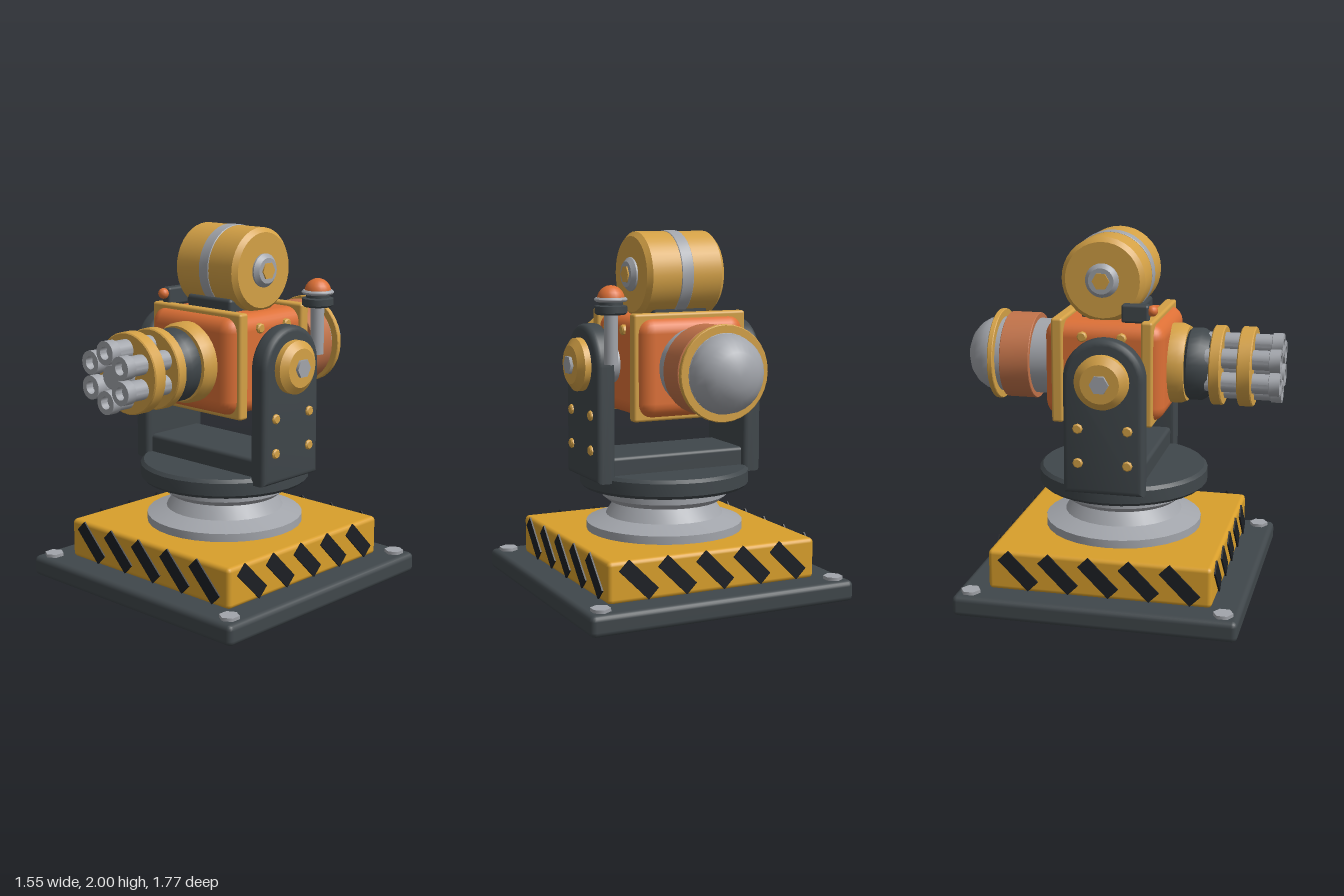
import * as THREE from 'three';
import { toCreasedNormals } from 'three/addons/utils/BufferGeometryUtils.js';
import { RoundedBoxGeometry } from 'three/addons/geometries/RoundedBoxGeometry.js';

const paint = (name, color) => Object.assign(new THREE.MeshStandardMaterial({ color }), { name });

export function createModel() {
  const root = new THREE.Group();
  root.name = 'turret';

  const dark = paint('darkSteel', 0x40474b);
  const black = paint('stripeBlack', 0x1c1f24);
  const yellow = paint('baseYellow', 0xd99f2b);
  const brass = paint('brassYellow', 0xd4a146);
  const orange = paint('bodyOrange', 0xdd7036);
  const copper = paint('copper', 0xc2734a);
  const steel = paint('steelGrey', 0xa2a5ab);

  const add = (name, geometry, material, x = 0, y = 0, z = 0, parent = root) => {
    const mesh = new THREE.Mesh(geometry, material);
    mesh.name = name;
    mesh.position.set(x, y, z);
    parent.add(mesh);
    return mesh;
  };
  const box = (w, h, d, r, seg = 2) => new RoundedBoxGeometry(w, h, d, seg, r);
  // Turned solid from [radius, height] points, listed from low to high
  const turned = (points, sides = 32) => toCreasedNormals(
    new THREE.LatheGeometry(points.map(([r, h]) => new THREE.Vector2(r, h)), sides), 0.6);
  // Disc between two heights with chamfered rims
  const disc = (r, a, b, c = 0.01, sides = 32) => turned(
    [[0, a], [r - c, a], [r, a + c], [r, b - c], [r - c, b], [0, b]], sides);
  const alongZ = (g) => g.rotateX(Math.PI / 2);
  const alongX = (g, s = 1) => g.rotateZ(-s * Math.PI / 2);

  // Ground plate with corner bolts
  add('groundPlate', box(1.55, 0.115, 1.55, 0.03), dark, 0, 0.0575, 0);
  for (const x of [-0.69, 0.69]) for (const z of [-0.69, 0.69])
    add('plateBolt', new THREE.CylinderGeometry(0.054, 0.054, 0.03, 6), steel, x, 0.118, z);

  // Yellow plinth with slanted stripes on all four sides
  add('plinth', box(1.23, 0.225, 1.23, 0.025), yellow, 0, 0.2225, 0);
  for (let side = 0; side < 4; side++) {
    const stripes = new THREE.Group();
    stripes.name = 'hazardStripes';
    stripes.rotation.y = side * Math.PI / 2;
    for (let i = -2; i <= 2; i++) {
      const stripe = add('stripe', new THREE.BoxGeometry(0.235, 0.08, 0.009), black,
        i * 0.222, 0.23, 0.62, stripes);
      stripe.rotation.z = -Math.PI / 4;
    }
    root.add(stripes);
  }

  // Pedestal and turntable
  add('pedestal', turned([[0, 0.33], [0.44, 0.33], [0.44, 0.38], [0.33, 0.42], [0.28, 0.5],
    [0.315, 0.5], [0.352, 0.53], [0.352, 0.59], [0, 0.59]]), steel);
  add('turntable', disc(0.475, 0.585, 0.69, 0.018), dark);

  // Yoke: crossbar and two round-topped arms
  add('yokeCrossbar', box(0.84, 0.12, 0.38, 0.02), dark, 0, 0.73, 0);
  const w = 0.19, axisY = 1.283, foot = 0.685;
  const armShape = new THREE.Shape();
  armShape.moveTo(-w, foot);
  armShape.lineTo(w, foot);
  armShape.lineTo(w, axisY);
  armShape.absarc(0, axisY, w, 0, Math.PI, false);
  armShape.closePath();
  for (const s of [-1, 1]) {
    const arm = new THREE.ExtrudeGeometry(armShape, {
      depth: 0.05, bevelSize: 0.03, bevelThickness: 0.03, bevelSegments: 3, curveSegments: 16,
    }).translate(0, 0, -0.025).rotateY(Math.PI / 2);
    add('yokeArm', toCreasedNormals(arm, 0.6), dark, s * 0.445, 0, 0);

    // Tilt axle, hub cap and bolts
    add('tiltAxle', alongX(new THREE.CylinderGeometry(0.11, 0.11, 0.14, 28)), steel, s * 0.35, axisY, 0);
    add('hubCap', alongX(turned([[0, 0.49], [0.145, 0.49], [0.145, 0.535], [0.105, 0.565], [0, 0.565]]), s),
      brass, 0, axisY, 0);
    add('hubBolt', alongX(new THREE.CylinderGeometry(0.052, 0.052, 0.03, 6)), steel, s * 0.567, axisY, 0);
    for (const y of [0.83, 1.02]) for (const z of [-0.135, 0.135])
      add('armBolt', alongX(disc(0.028, 0.49, 0.515, 0.007, 8), s), brass, 0, y, z);
    for (const z of [-0.155, 0.06])
      add('bodyBolt', alongX(disc(0.028, 0.3, 0.333, 0.007, 8), s), brass, 0, 1.475, z);
  }

  // Gun body with two square frames
  add('gunBody', box(0.63, 0.54, 0.66, 0.085, 3), orange, 0, 1.28, -0.045);
  add('frontFrame', box(0.665, 0.575, 0.065, 0.015), brass, 0, axisY, 0.198);
  add('rearFrame', box(0.665, 0.575, 0.065, 0.015), brass, 0, axisY, -0.293);

  // Barrel mount
  const gun = new THREE.Group();
  gun.name = 'barrelAssembly';
  gun.position.y = axisY;
  root.add(gun);
  add('barrelFlange', alongZ(turned([[0, 0.27], [0.22, 0.27], [0.22, 0.335], [0.205, 0.37], [0, 0.37]])),
    brass, 0, 0, 0, gun);
  add('barrelCollar', alongZ(turned([[0, 0.36], [0.175, 0.36], [0.198, 0.385], [0.198, 0.45],
    [0.17, 0.495], [0, 0.495]])), dark, 0, 0, 0, gun);
  for (const [a, b] of [[0.508, 0.57], [0.658, 0.735]])
    add('barrelClamp', alongZ(disc(0.218, a, b, 0.006)), brass, 0, 0, 0, gun);
  add('centreShaft', alongZ(disc(0.066, 0.48, 0.845, 0.006, 20)), steel, 0, 0, 0, gun);

  // Six barrels with hollow muzzles
  for (let i = 0; i < 6; i++) {
    const a = (i + 0.5) * Math.PI / 3;
    add('barrel', alongZ(turned([[0, 0.48], [0.054, 0.48], [0.054, 0.825], [0.063, 0.828], [0.063, 0.885],
      [0.034, 0.885], [0.034, 0.84], [0, 0.84]], 18)), steel, Math.cos(a) * 0.13, Math.sin(a) * 0.13, 0, gun);
  }

  // Rear motor housing, built pointing backwards
  const rear = new THREE.Group();
  rear.name = 'rearMotor';
  rear.position.y = axisY;
  rear.rotation.y = Math.PI;
  root.add(rear);
  add('motorCylinder', alongZ(disc(0.21, 0.35, 0.72, 0.002)), steel, 0, 0, 0, rear);
  add('motorBand', alongZ(disc(0.24, 0.482, 0.65, 0.003)), copper, 0, 0, 0, rear);
  add('motorRing', alongZ(disc(0.253, 0.685, 0.715, 0.004)), brass, 0, 0, 0, rear);
  const dome = new THREE.SphereGeometry(0.21, 28, 5, 0, Math.PI * 2, 0, Math.PI / 2).scale(1, 0.83, 1);
  add('motorDome', alongZ(dome), steel, 0, 0, 0.711, rear);

  // Ammunition drum on its cradle
  const drum = new THREE.Group();
  drum.name = 'ammoDrum';
  drum.position.set(0, 1.766, -0.065);
  root.add(drum);
  add('drumBody', alongX(disc(0.23, -0.23, 0.23, 0.025, 36)), brass, 0, 0, 0, drum);
  add('drumBand', alongX(disc(0.234, -0.035, 0.035, 0.003, 36)), steel, 0, 0, 0, drum);
  for (const s of [-1, 1]) {
    add('drumCap', alongX(turned([[0, 0.22], [0.092, 0.22], [0.092, 0.24], [0.07, 0.262], [0, 0.262]], 24), s),
      steel, 0, 0, 0, drum);
    add('drumBolt', alongX(new THREE.CylinderGeometry(0.048, 0.048, 0.02, 6)), brass, s * 0.26, 0, 0, drum);
  }
  add('drumCradle', box(0.33, 0.1, 0.33, 0.02), dark, 0, 1.57, -0.035);

  // Small sight with an orange bead
  add('sightBlock', box(0.06, 0.1, 0.15, 0.015), dark, -0.26, 1.603, 0.125);
  add('sightBead', new THREE.SphereGeometry(0.03, 14, 10), orange, -0.26, 1.62, 0.215);

  // Warning beacon on a post behind the left arm
  const beacon = new THREE.Group();
  beacon.name = 'beacon';
  beacon.position.set(0.44, 0, -0.27);
  root.add(beacon);
  add('beaconPost', new THREE.CylinderGeometry(0.037, 0.037, 0.27, 16), steel, 0, 1.442, 0, beacon);
  add('beaconBase', turned([[0, 1.57], [0.075, 1.57], [0.086, 1.58], [0.086, 1.615], [0.065, 1.62],
    [0.065, 1.64], [0, 1.64]], 24), dark, 0, 0, 0, beacon);
  add('beaconRim', disc(0.088, 1.637, 1.66, 0.009, 24), steel, 0, 0, 0, beacon);
  add('beaconLamp', new THREE.SphereGeometry(0.073, 20, 6, 0, Math.PI * 2, 0, Math.PI / 2), orange,
    0, 1.65, 0, beacon);

  return root;
}
